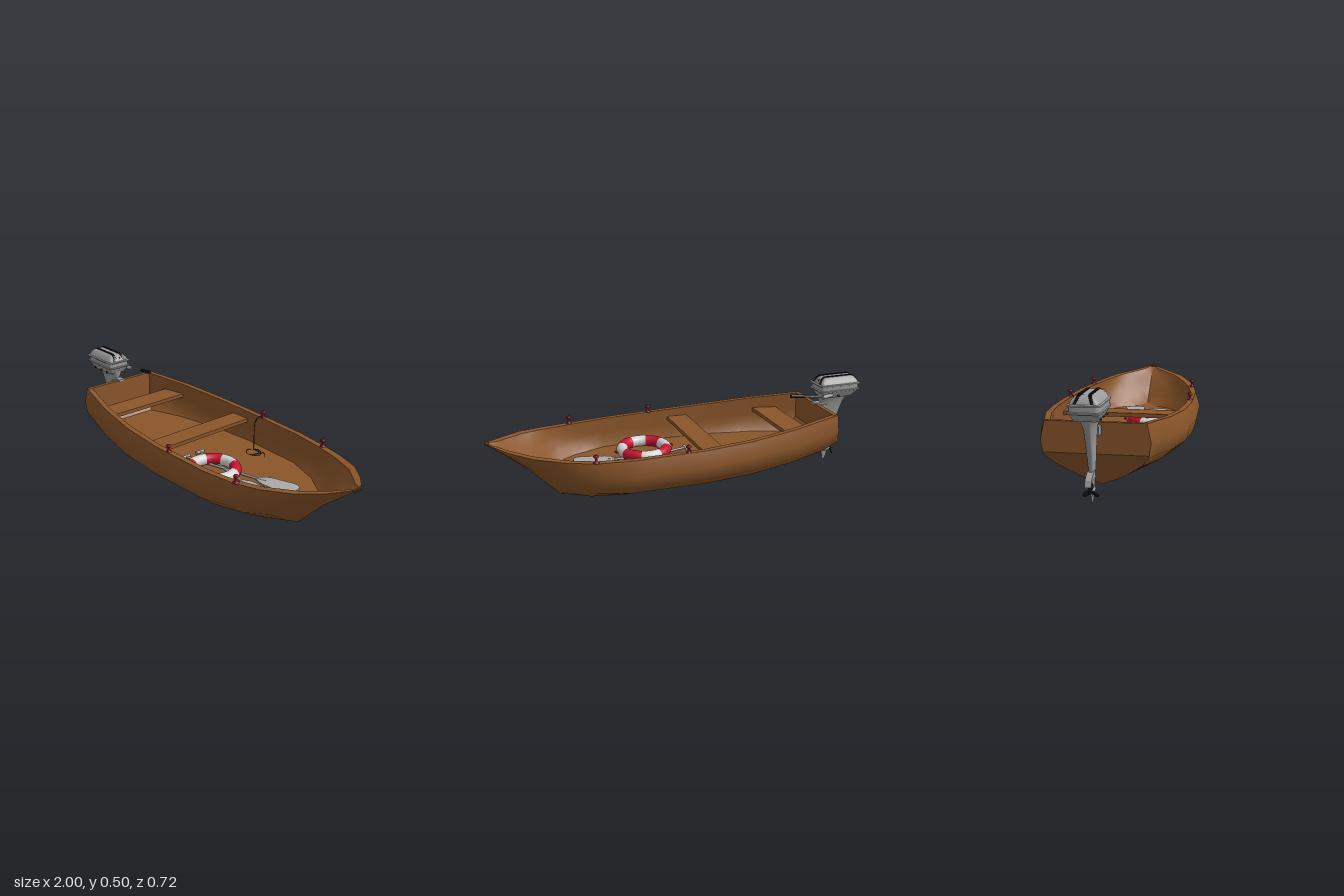
import * as THREE from 'three';
import { toCreasedNormals } from 'three/addons/utils/BufferGeometryUtils.js';

const mat = (name, color, side = THREE.FrontSide) => {
  const m = new THREE.MeshStandardMaterial({ color, side });
  m.name = name;
  return m;
};
const V = (x, y, z) => new THREE.Vector3(x, y, z);
const lerp = THREE.MathUtils.lerp;

// Skin a row of closed loops, each a list of [x, y, z]
function loft(loops, caps, crease) {
  const n = loops[0].length, pos = loops.flat(2), idx = [];
  for (let i = 0; i < loops.length - 1; i++) for (let j = 0; j < n; j++) {
    const a = i * n + j, b = i * n + (j + 1) % n;
    idx.push(a, a + n, b + n, a, b + n, b);
  }
  if (caps) for (let j = 1; j < n - 1; j++) {
    const e = (loops.length - 1) * n;
    idx.push(0, j, j + 1, e, e + j + 1, e + j);
  }
  const g = new THREE.BufferGeometry();
  g.setAttribute('position', new THREE.Float32BufferAttribute(pos, 3));
  g.setIndex(idx);
  return toCreasedNormals(g, crease);
}

// Stack of rounded-rectangle levels [y, x0, x1, halfZ]
function stack(levels, power, crease) {
  const round = v => Math.sign(v) * Math.abs(v) ** (2 / power);
  return loft(levels.map(([y, x0, x1, hz]) => Array.from({ length: 40 }, (_, k) => {
    const t = k / 40 * Math.PI * 2;
    return [(x0 + x1) / 2 + (x1 - x0) / 2 * round(Math.cos(t)), y, hz * round(Math.sin(t))];
  })), true, crease);
}

// Hull stations: x, keel height, sheer height, half width, bow flare, stern rake
const stations = [
  [-.775, .035, .348, .238, 0, 1], [-.5, .022, .327, .312, 0, 0],
  [-.25, .004, .31, .35, 0, 0], [0, 0, .3, .362, 0, 0], [.35, 0, .295, .35, .05, 0],
  [.52, .004, .295, .318, .3, 0], [.65, .035, .302, .275, .6, 0], [.8, .19, .317, .2, 1, 0],
  [.9, .272, .329, .115, 1, 0], [.965, .325, .343, .042, 1, 0], [.995, .344, .352, .004, 1, 0]];
const midShape = [[0, 0], [.375, .13], [.79, .36], [.955, .52], [1, .74], [.925, 1]];
const bowShape = [[0, 0], [.3, .2], [.6, .45], [.78, .63], [.92, .82], [1, 1]];

// Outer half section as [z, y], keel to gunwale
const outer = ([, keel, sheer, w, f]) => midShape.map(([a, b], i) => [
  w * lerp(a, bowShape[i][0], f), lerp(keel, sheer, lerp(b, bowShape[i][1], f))]);

function widthAt(sec, y) {
  for (let i = 1; i < sec.length; i++) if (y <= sec[i][1])
    return lerp(sec[i - 1][0], sec[i][0], (y - sec[i - 1][1]) / (sec[i][1] - sec[i - 1][1]));
  return sec[sec.length - 1][0];
}

// The stern slopes forward below y = 0.21
const rakedX = (x, y, rake) => x + rake * Math.max(0, .21 - y) * .886;

function hullLoop(st) {
  const sec = outer(st), [x, keel, sheer, w, flare, rake] = st;
  const floor = Math.min(Math.max(.14, keel + .012), sheer - .004);
  const inset = Math.min(lerp(.028, .042, flare), w * .5);
  const rim = sec[5][0] - inset;
  const inner = [1, .75, .5, .25, 0].map(k => {
    const y = lerp(floor, sheer, k);
    return [Math.max(Math.min(widthAt(sec, y) - inset, rim), 0), y];
  });
  const half = [...sec, ...inner, [0, floor]];
  const mirror = half.slice(1, -1).reverse().map(([z, y]) => [-z, y]);
  return [...half, ...mirror].map(([z, y]) => [rakedX(x, y, rake), y, z]);
}

export function createModel() {
  const wood = mat('brown wood', 0x8b562a, THREE.DoubleSide);
  const darkRed = mat('dark red', 0x7c0f18);
  const red = mat('bright red', 0xc4122f);
  const white = mat('off white', 0xd2d2d2);
  const grey = mat('motor grey', 0x9b9b9b);
  const paleGrey = mat('oar grey', 0xa9a9a9);
  const black = mat('black', 0x121212);

  const boat = new THREE.Group();
  boat.name = 'rowingBoat';
  const add = (name, geo, material, p = [0, 0, 0], r = [0, 0, 0], parent = boat) => {
    const m = new THREE.Mesh(geo, material);
    m.name = name;
    m.position.set(...p);
    m.rotation.set(...r);
    parent.add(m);
    return m;
  };
  const box = (x, y, z) => new THREE.BoxGeometry(x, y, z);
  const rod = (name, a, b, r, material, parent = boat, r2 = r) => {
    const d = b.clone().sub(a);
    const m = add(name, new THREE.CylinderGeometry(r2, r, d.length(), 14), material, [0, 0, 0], [0, 0, 0], parent);
    m.position.copy(a).add(b).multiplyScalar(.5);
    m.quaternion.setFromUnitVectors(V(0, 1, 0), d.normalize());
  };
  const plate = (pts, depth) => new THREE.ExtrudeGeometry(
    new THREE.Shape(pts.map(p => new THREE.Vector2(...p))), { depth, bevelEnabled: false });

  // Hull, with extra stations between the main ones
  const fine = stations.slice(0, -1).flatMap((s, i) =>
    [0, 1 / 3, 2 / 3].map(t => s.map((v, k) => lerp(v, stations[i + 1][k], t))));
  add('hull', loft([...fine, stations.at(-1)].map(hullLoop), false, .72), wood);

  // Transom, upright above and sloping forward below
  const stern = outer(stations[0]);
  const rows = [...stern, [widthAt(stern, .21), .21]].sort((a, b) => a[1] - b[1]);
  add('transom', loft(rows.map(([w, y]) => {
    const x = rakedX(-.775, y, 1);
    return [[x + .022, y, -w], [x + .022, y, w], [x, y, w], [x, y, -w]];
  }), true, .3), wood);
  add('middleBench', box(.11, .02, .62), wood, [-.075, .25, 0]);
  add('rearBench', box(.13, .02, .52), wood, [-.575, .26, 0]);

  // Stem fitting
  add('stemRing', new THREE.TorusGeometry(.006, .0025, 8, 16), wood, [.99, .344, 0], [0, Math.PI / 2, 0]);
  rod('stemPin', V(.975, .347, -.032), V(.975, .347, .032), .003, wood);
  rod('stemBolt', V(.965, .318, 0), V(.985, .345, 0), .003, wood);

  // Mooring bollards
  const bollard = new THREE.LatheGeometry([[0, 0], [.015, 0], [.015, .004], [.006, .009], [.005, .024],
    [.012, .029], [.013, .035], [.008, .04], [0, .041]].map(p => new THREE.Vector2(...p)), 18);
  for (const s of [1, -1]) for (const [x, z] of [[.088, .318], [.53, .288]])
    add('bollard', bollard, darkRed, [x, .294, z * s]);

  // Rope hanging from a bollard into a loose coil
  const ropePts = [V(.088, .308, -.318), V(.075, .303, -.3), V(.06, .27, -.285), V(.062, .2, -.278), V(.08, .148, -.26)];
  for (let i = 0; i < 16; i++) {
    const a = -2.2 + i * .62, r = .05 - i * .0012;
    ropePts.push(V(.125 + r * Math.cos(a), .1405 + .002 * Math.sin(i * 1.7), -.212 + r * .75 * Math.sin(a)));
  }
  ropePts.push(V(.17, .142, -.245), V(.215, .142, -.21));
  add('rope', new THREE.TubeGeometry(new THREE.CatmullRomCurve3(ropePts), 160, .002, 6), black);

  // Life ring
  const ring = new THREE.Group();
  ring.name = 'lifeRing';
  ring.position.set(.175, .17, .115);
  ring.rotation.x = Math.PI / 2;
  boat.add(ring);
  const segment = new THREE.TorusGeometry(.115, .029, 18, 10, Math.PI / 4);
  for (let k = 0; k < 8; k++)
    add('ringSegment', segment, k % 2 ? red : white, [0, 0, 0], [0, 0, (k - .5) * Math.PI / 4], ring);
  for (let k = 0; k < 4; k++) {
    const a = k * Math.PI / 2;
    add('ringHandle', new THREE.TorusGeometry(.014, .004, 8, 14), red,
      [.143 * Math.cos(a), .143 * Math.sin(a), 0], [0, 0, a], ring);
  }

  // Oars lying on the floor
  const bladePts = [[0, .008], [.03, .03], [.06, .042], [.18, .054], [.205, .05], [.222, .03], [.222, -.03],
    [.205, -.05], [.18, -.054], [.06, -.042], [.03, -.03], [0, -.008]];
  for (const [a, b] of [[V(-.05, .15, .1), V(.37, .155, 0)], [V(-.05, .148, .005), V(.335, .152, .068)]]) {
    const dir = b.clone().sub(a);
    rod('oarShaft', a, b.clone().addScaledVector(dir, .12), .006, paleGrey);
    rod('oarGrip', V(a.x, a.y, a.z - .025), V(a.x, a.y, a.z + .025), .008, paleGrey);
    const holder = new THREE.Group();
    holder.name = 'oarBlade';
    holder.position.copy(b);
    holder.rotation.y = Math.atan2(-dir.z, dir.x);
    boat.add(holder);
    add('blade', plate(bladePts, .008), paleGrey, [0, .004, 0], [Math.PI / 2, 0, 0], holder);
  }

  // Outboard motor
  const motor = new THREE.Group();
  motor.name = 'outboardMotor';
  boat.add(motor);
  const part = (name, geo, material, p, r) => add(name, geo, material, p, r, motor);
  part('cowl', stack([[.385, -.955, -.785, .05], [.408, -.98, -.772, .062], [.418, -.988, -.768, .066],
    [.42, -.998, -.758, .07], [.426, -.998, -.758, .07], [.428, -.99, -.765, .065],
    [.449, -.99, -.765, .065], [.451, -1, -.757, .07], [.457, -1, -.757, .07],
    [.46, -.99, -.765, .063], [.475, -.984, -.772, .055], [.489, -.972, -.785, .041],
    [.494, -.955, -.8, .032]], 10, .6), grey);
  part('leg', stack([[.015, -.842, -.826, .003], [.05, -.853, -.818, .006], [.13, -.862, -.81, .012],
    [.2, -.878, -.804, .016], [.26, -.897, -.8, .019], [.345, -.928, -.79, .024],
    [.375, -.945, -.78, .036], [.4, -.955, -.775, .046]], 2.6, .9), grey);
  part('gearcase', new THREE.SphereGeometry(1, 20, 12), grey, [-.84, .075, 0]).scale.set(.036, .014, .014);
  part('guardFin', plate([[-.922, .105], [-.912, .132], [-.89, .148], [-.84, .165], [-.83, .125],
    [-.87, .13], [-.9, .12]], .028), grey, [0, 0, -.014]);
  part('clampBlock', box(.065, .04, .05), grey, [-.79, .318, 0]);
  part('clampHook', box(.05, .01, .036), grey, [-.775, .348, 0]);

  // Propeller
  part('propellerHub', new THREE.CylinderGeometry(.009, .006, .03, 14), black, [-.872, .075, 0], [0, 0, -Math.PI / 2]);
  for (let k = 0; k < 3; k++) {
    const a = k * Math.PI * 2 / 3;
    part('propellerBlade', new THREE.SphereGeometry(1, 12, 8), black,
      [-.868, .075 + .02 * Math.cos(a), .02 * Math.sin(a)], [a, .5, 0]).scale.set(.004, .021, .012);
  }

  // Vents running over the cowl, spreading towards both ends
  const ventPath = [[-.99, .46], [-.984, .475], [-.972, .489], [-.955, .4945], [-.8, .4945],
    [-.785, .489], [-.772, .475], [-.765, .46]];
  for (const s of [1, -1]) for (let i = 0; i < ventPath.length - 1; i++) {
    const [ax, ay] = ventPath[i], [bx, by] = ventPath[i + 1];
    const len = Math.hypot(bx - ax, by - ay), n = Math.round(len / .008);
    for (let k = 0; k < n; k++) {
      const t = (k + .5) / n, x = lerp(ax, bx, t), y = lerp(ay, by, t);
      part('vent', box(len / n * .8, .006, .013), black,
        [x, y, s * (.021 + (.495 - y) * .45)], [0, 0, Math.atan2(by - ay, bx - ax)]);
    }
  }
  part('redTab', box(.004, .014, .006), red, [-.772, .476, -.008], [0, 0, .4]);
  part('whiteTab', box(.004, .012, .005), white, [-.772, .476, .014], [0, 0, .4]);

  // Tiller and side knobs
  rod('tillerBase', V(-.83, .402, -.055), V(-.76, .402, -.078), .011, grey, motor);
  rod('tillerArm', V(-.775, .402, -.074), V(-.65, .42, -.072), .005, grey, motor);
  rod('tillerGrip', V(-.655, .419, -.072), V(-.575, .428, -.07), .009, black, motor, .01);
  for (const [x, z] of [[-.93, .056], [-.87, .056], [-.81, .058], [-.87, -.056]])
    part('sideKnob', new THREE.SphereGeometry(.0065, 12, 8), black, [x, .394, z]);

  return boat;
}
